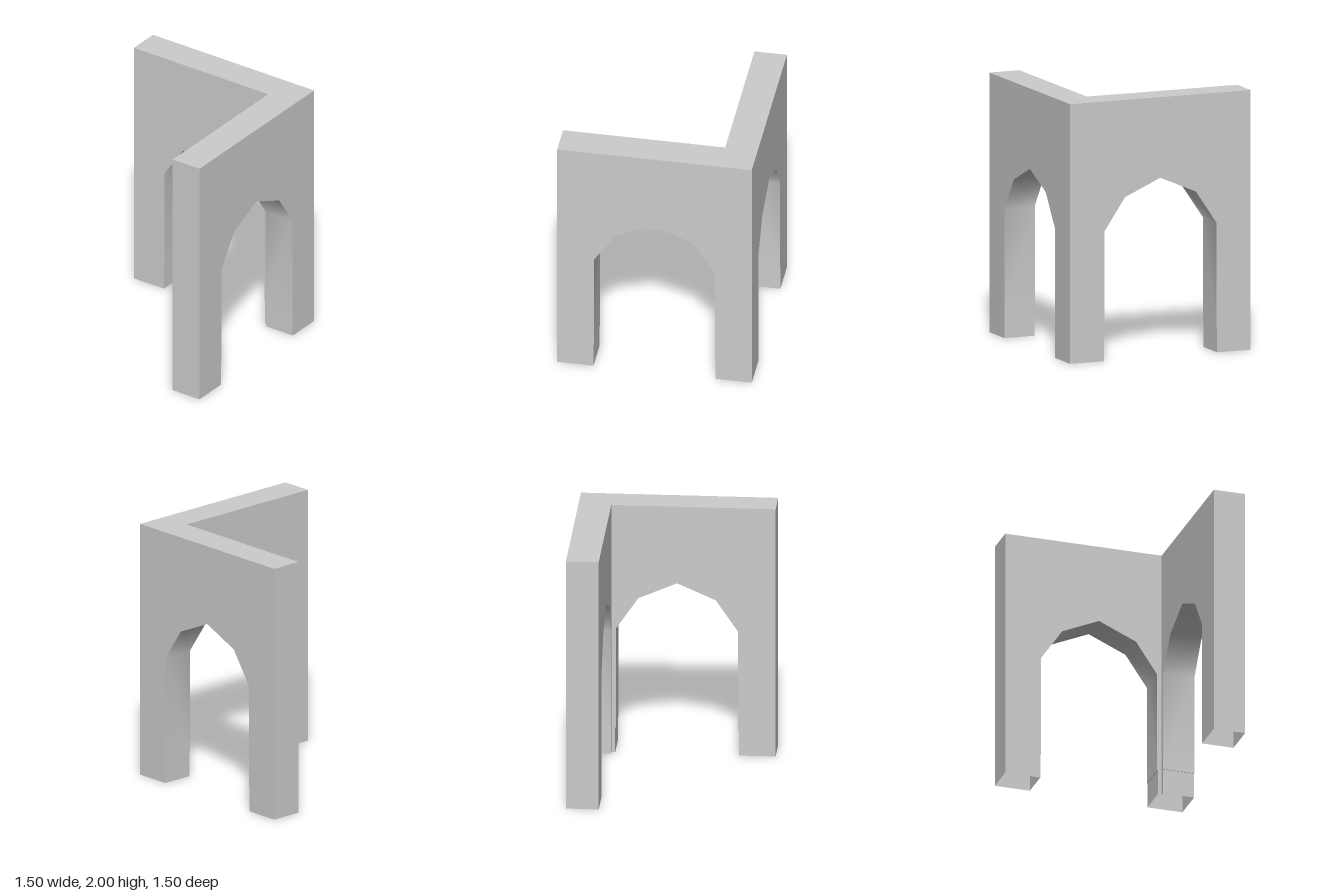
import * as THREE from 'three';

const H = 2, OUT = 0.75, IN = 0.5; // height, outer and inner wall planes
const material = new THREE.MeshStandardMaterial({ color: 0xcccccc, side: THREE.DoubleSide });

// Opening outline from left to right, in smooth runs: foot, ledge, arch, ledge, foot
const foot = [[-0.47, 0], [-0.47, 0.2]];
const ledge = [[-0.47, 0.2], [-0.465, 0.2]];
const arch = [[-0.465, 0.2], [-0.465, 1], [-0.295, 1.25], [0, 1.38], [0.295, 1.25], [0.465, 1], [0.465, 0.2]];
const mirror = (run) => run.map(([x, y]) => [-x, y]).reverse();
const runs = [foot, ledge, arch, mirror(ledge), mirror(foot)];

function mesh(name, geometry) {
  const m = new THREE.Mesh(geometry, material);
  m.name = name;
  return m;
}

function shape(points) {
  return new THREE.ShapeGeometry(new THREE.Shape(points.map(([x, y]) => new THREE.Vector2(x, y))));
}

// Wall face with the opening cut up from its lower edge
function face(right) {
  return shape([[-OUT, 0], ...foot, ...arch, ...mirror(foot), [right, 0], [right, H], [-OUT, H]]);
}

// Underside strip of the opening, across the wall thickness
function strip(run) {
  const g = new THREE.PlaneGeometry(1, 1, run.length - 1, 1);
  const p = g.attributes.position;
  for (let i = 0; i < p.count; i++) {
    const [x, y] = run[i % run.length];
    p.setXYZ(i, x, y, i < run.length ? -IN : -OUT);
  }
  g.computeVertexNormals();
  return g;
}

// One arched wall, open under its hollow legs
function wall(name) {
  const g = new THREE.Group();
  g.name = name;
  g.add(mesh('outerFace', face(OUT).rotateY(Math.PI).translate(0, 0, -OUT)));
  g.add(mesh('innerFace', face(IN).translate(0, 0, -IN)));
  g.add(mesh('endFace', new THREE.PlaneGeometry(OUT - IN, H)
    .rotateY(-Math.PI / 2).translate(-OUT, H / 2, -(OUT + IN) / 2)));
  runs.forEach((run) => g.add(mesh('archUnderside', strip(run))));
  return g;
}

export function createModel() {
  const model = new THREE.Group();
  model.name = 'cornerArches';

  const back = wall('backWall');
  // Mirrored across the diagonal so both walls share the corner leg
  const side = wall('leftWall');
  side.scale.x = -1;
  side.rotation.y = -Math.PI / 2;

  // L-shaped top
  const top = shape([[-OUT, IN], [IN, IN], [IN, -OUT], [OUT, -OUT], [OUT, OUT], [-OUT, OUT]]);
  model.add(back, side, mesh('top', top.rotateX(-Math.PI / 2).translate(0, H, 0)));
  return model;
}
